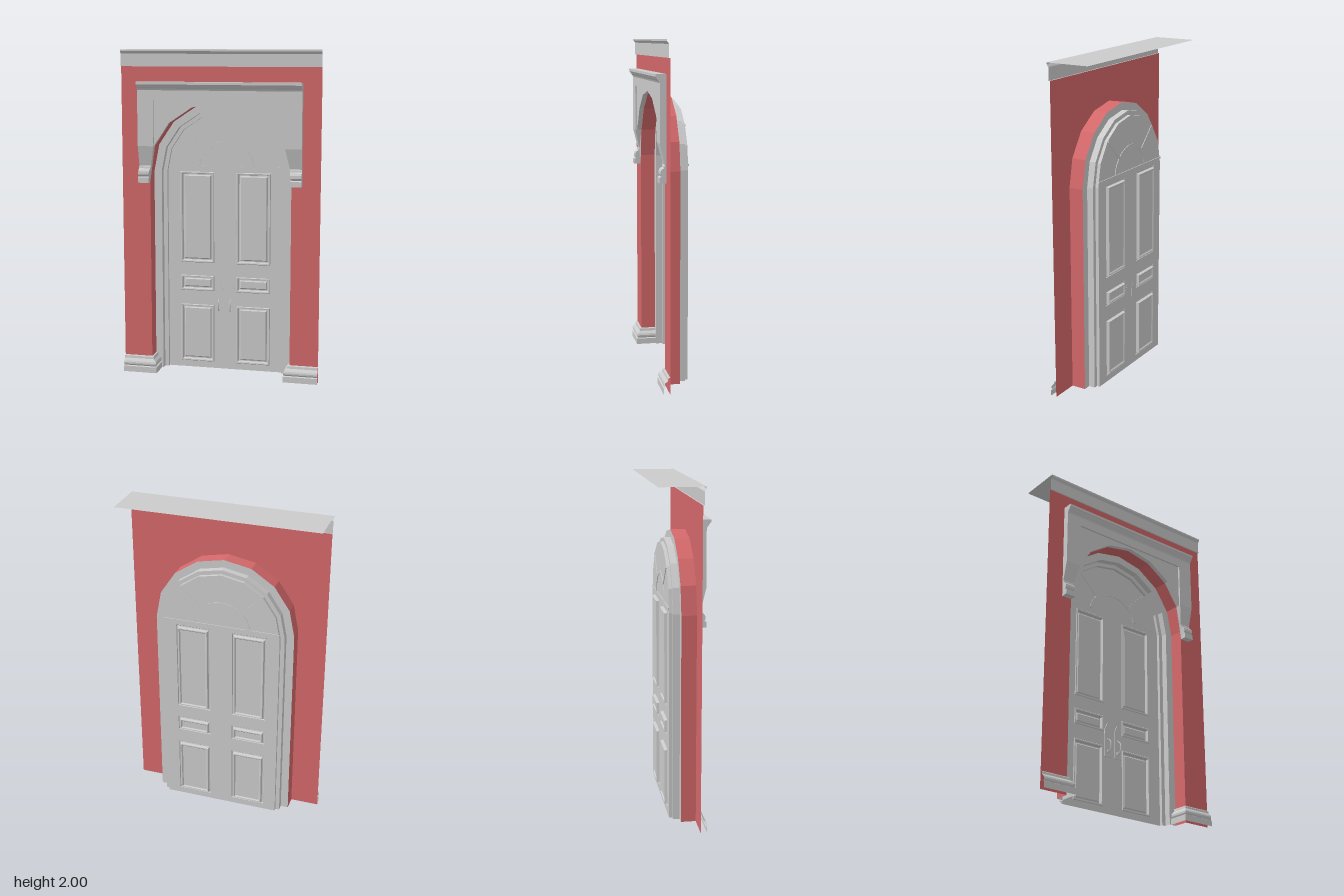
import * as THREE from 'three';

const grey = new THREE.MeshStandardMaterial({ color: 0xcccccc, side: THREE.DoubleSide });
const red = new THREE.MeshStandardMaterial({ color: 0xd4686a, side: THREE.DoubleSide });

const SPRING = 1.257;              // height where the arch starts
const WALL_Z = 0.09, DOOR_Z = -0.06;
const R_WALL = 0.435, R_STEP = 0.388, R_DOOR = 0.363;

function add(group, name, geometry, material = grey) {
  const mesh = new THREE.Mesh(geometry, material);
  mesh.name = name;
  group.add(mesh);
  return mesh;
}

// Flat-shaded skin over rows of [x, y, z] points
function skin(rows, closed = false) {
  const pos = [];
  for (let i = 0; i < rows.length - 1; i++) {
    const a = rows[i], b = rows[i + 1], n = a.length;
    for (let j = 0; j < (closed ? n : n - 1); j++) {
      const k = (j + 1) % n;
      pos.push(...a[j], ...a[k], ...b[k], ...a[j], ...b[k], ...b[j]);
    }
  }
  const g = new THREE.BufferGeometry();
  g.setAttribute('position', new THREE.Float32BufferAttribute(pos, 3));
  g.computeVertexNormals();
  return g;
}

// Eight-sided half circle, from right to left
function arc(r, from = 0, to = 8) {
  const pts = [];
  for (let i = from; i <= to; i++) {
    const a = (i * Math.PI) / 8;
    pts.push([r * Math.cos(a), SPRING + r * Math.sin(a)]);
  }
  return pts;
}
const archway = (r) => [[r, 0], ...arc(r), [-r, 0]];
const shapeOf = (pts) => new THREE.Shape(pts.map(([x, y]) => new THREE.Vector2(x, y)));
const rect = (x0, y0, x1, y1) => [[x0, y0], [x1, y0], [x1, y1], [x0, y1]];

function flat(shape, z) {
  return new THREE.ShapeGeometry(shape).translate(0, 0, z);
}
function slab(shape, z0, z1) {
  return new THREE.ExtrudeGeometry(shape, { depth: z1 - z0, bevelEnabled: false, curveSegments: 8 }).translate(0, 0, z0);
}
// Profile of [z, y] points extruded along x
function alongX(profile, x0, x1) {
  const g = new THREE.ExtrudeGeometry(shapeOf(profile.map(([z, y]) => [-z, y])), { depth: x1 - x0, bevelEnabled: false });
  return g.rotateY(Math.PI / 2).translate(x0, 0, 0);
}

function buildWall(g) {
  const outline = [[-0.61, 0], [-0.61, 1.9], [0.61, 1.9], [0.61, 0], ...archway(R_WALL)];
  add(g, 'wall', flat(shapeOf(outline), WALL_Z), red);
  const ring = (r, z) => archway(r).map(([x, y]) => [x, y, z]);
  add(g, 'wallReveal', skin([ring(R_WALL, WALL_Z), ring(R_WALL, 0)]), red);
  // Stepped door frame
  const steps = [[R_WALL, 0], [R_STEP, 0], [R_STEP, -0.04], [R_DOOR, -0.04], [R_DOOR, DOOR_Z]];
  add(g, 'doorFrame', skin(steps.map(([r, z]) => ring(r, z))));
}

function buildCornice(g) {
  const profile = [[0.09, 1.9], [0.098, 1.9], [0.098, 1.975], [0.103, 1.982], [0.11, 1.99], [0.11, 2]];
  add(g, 'cornice', skin(profile.map(([z, y]) => [[-0.61, y, z], [0.61, y, z]])));
  const lid = new THREE.PlaneGeometry(1.22, 0.265).rotateX(-Math.PI / 2).translate(0, 2, -0.0225);
  add(g, 'topCover', lid);
}

// Moulded plinth that turns the corner into the doorway
function buildPlinths(g) {
  const profile = [[0.037, 0], [0.037, 0.036], [0.028, 0.04], [0.033, 0.048], [0.034, 0.058],
    [0.03, 0.068], [0.021, 0.076], [0.014, 0.082], [0.012, 0.096], [0.008, 0.1], [0, 0.1]];
  for (const s of [-1, 1]) {
    const rows = profile.map(([o, y]) => [
      [s * 0.61, y, WALL_Z + o], [s * (R_WALL - o), y, WALL_Z + o], [s * (R_WALL - o), y, 0]]);
    if (s > 0) rows.reverse();
    add(g, s > 0 ? 'leftPlinth' : 'rightPlinth', skin(rows));
  }
}

function buildHood(g) {
  const hood = new THREE.Group();
  hood.name = 'hood';
  g.add(hood);
  const back = WALL_Z + 0.002;
  const [ix, iy] = arc(R_WALL, 1, 1)[0];
  // Raised surround: two legs and a lintel
  add(hood, 'hoodSurround', slab(shapeOf([[-0.5, iy], [-ix, iy], [-ix, 1.705], [ix, 1.705],
    [ix, iy], [0.5, iy], [0.5, 1.76], [-0.5, 1.76]]), back, 0.13));
  // Sunk panel cut by the arch
  add(hood, 'hoodPanel', slab(shapeOf([...arc(R_WALL, 1, 7), [-ix, 1.705], [ix, 1.705]]), back, 0.118));
  // Shelf moulding
  add(hood, 'hoodShelf', alongX([[back, 1.76], [0.13, 1.76], [0.135, 1.77], [0.144, 1.782],
    [0.149, 1.79], [0.155, 1.795], [0.155, 1.81], [back, 1.81]], -0.5, 0.5));
  // Tapered brackets, their inner side following the arch
  const profile = [[back, 1.2], [0.132, 1.2], [0.132, 1.232], [0.12, 1.238], [0.127, 1.25], [0.126, 1.268],
    [0.118, 1.28], [0.106, 1.286], [0.104, 1.298], [0.1, 1.302], [0.13, iy], [back, iy]];
  for (const s of [-1, 1]) {
    const geo = alongX(profile, s > 0 ? R_WALL : -0.5, s > 0 ? 0.5 : -R_WALL);
    const p = geo.attributes.position;
    for (let i = 0; i < p.count; i++) {
      if (Math.abs(p.getX(i)) > 0.47) continue;
      const t = THREE.MathUtils.clamp((p.getY(i) - SPRING) / (iy - SPRING), 0, 1);
      p.setX(i, s * THREE.MathUtils.lerp(R_WALL, ix, t));
    }
    geo.computeVertexNormals();
    add(hood, s > 0 ? 'leftBracket' : 'rightBracket', geo);
  }
}

function buildDoor(g) {
  const door = new THREE.Group();
  door.name = 'door';
  g.add(door);
  const leaf = shapeOf(archway(R_DOOR));
  // Moulding steps: inset from the panel edge, z
  const steps = [[0, DOOR_Z], [0.004, -0.055], [0.011, -0.056], [0.015, -0.075], [0.021, -0.075], [0.028, -0.068]];
  for (const s of [-1, 1]) {
    for (const [y0, y1] of [[0.04, 0.41], [0.5, 0.597], [0.68, 1.253]]) {
      const x0 = s < 0 ? -0.285 : 0.07, x1 = x0 + 0.215;
      const inset = (d) => rect(x0 + d, y0 + d, x1 - d, y1 - d);
      leaf.holes.push(shapeOf(inset(0)));
      add(door, 'panelMoulding', skin(steps.map(([d, z]) => inset(d).map(([x, y]) => [x, y, z])), true));
      add(door, 'panelField', flat(shapeOf(inset(0.028)), -0.068));
    }
    buildHandle(door, s);
  }
  add(door, 'doorLeaf', flat(leaf, DOOR_Z));

  // Fanlight: transom line, half ring and two radiating bars
  add(door, 'transom', new THREE.BoxGeometry(2 * R_DOOR - 0.004, 0.012, 0.006).translate(0, 1.285, -0.062));
  const ring = new THREE.Shape();
  ring.absarc(0, SPRING, 0.187, 0.2, Math.PI - 0.2, false);
  ring.absarc(0, SPRING, 0.165, Math.PI - 0.2, 0.2, true);
  add(door, 'fanRing', slab(ring, -0.064, -0.056));
  for (const a of [Math.PI / 4, (3 * Math.PI) / 4]) {
    const bar = new THREE.BoxGeometry(0.172, 0.016, 0.008).translate(0.272, 0, 0);
    add(door, 'fanBar', bar.rotateZ(a).translate(0, SPRING, -0.06));
  }
}

function buildHandle(door, s) {
  const handle = new THREE.Group();
  handle.name = s > 0 ? 'leftHandle' : 'rightHandle';
  handle.position.set(s * 0.037, 0, DOOR_Z);
  door.add(handle);
  // Back plate with a pointed, shouldered top
  const half = [[0.026, 0.345], [0.026, 0.515], [0.017, 0.53], [0.012, 0.545], [0.005, 0.555]];
  const plate = [...half, ...half.map(([x, y]) => [-x, y]).reverse()];
  add(handle, 'handlePlate', slab(shapeOf(plate), -0.001, 0.005));
  // Bowed grip with its two mounts
  const path = new THREE.CatmullRomCurve3([[0.38, 0.005], [0.385, 0.024], [0.41, 0.033], [0.44, 0.027], [0.455, 0.005]]
    .map(([y, z]) => new THREE.Vector3(0, y, z)));
  add(handle, 'grip', new THREE.TubeGeometry(path, 12, 0.004, 6));
  add(handle, 'lowerMount', new THREE.BoxGeometry(0.018, 0.018, 0.006).translate(0, 0.38, 0.008));
  add(handle, 'upperMount', new THREE.CylinderGeometry(0.009, 0.009, 0.006, 10).rotateX(Math.PI / 2).translate(0, 0.455, 0.008));
}

export function createModel() {
  const g = new THREE.Group();
  g.name = 'archedDoorway';
  buildWall(g);
  buildCornice(g);
  buildPlinths(g);
  buildHood(g);
  buildDoor(g);
  return g;
}
